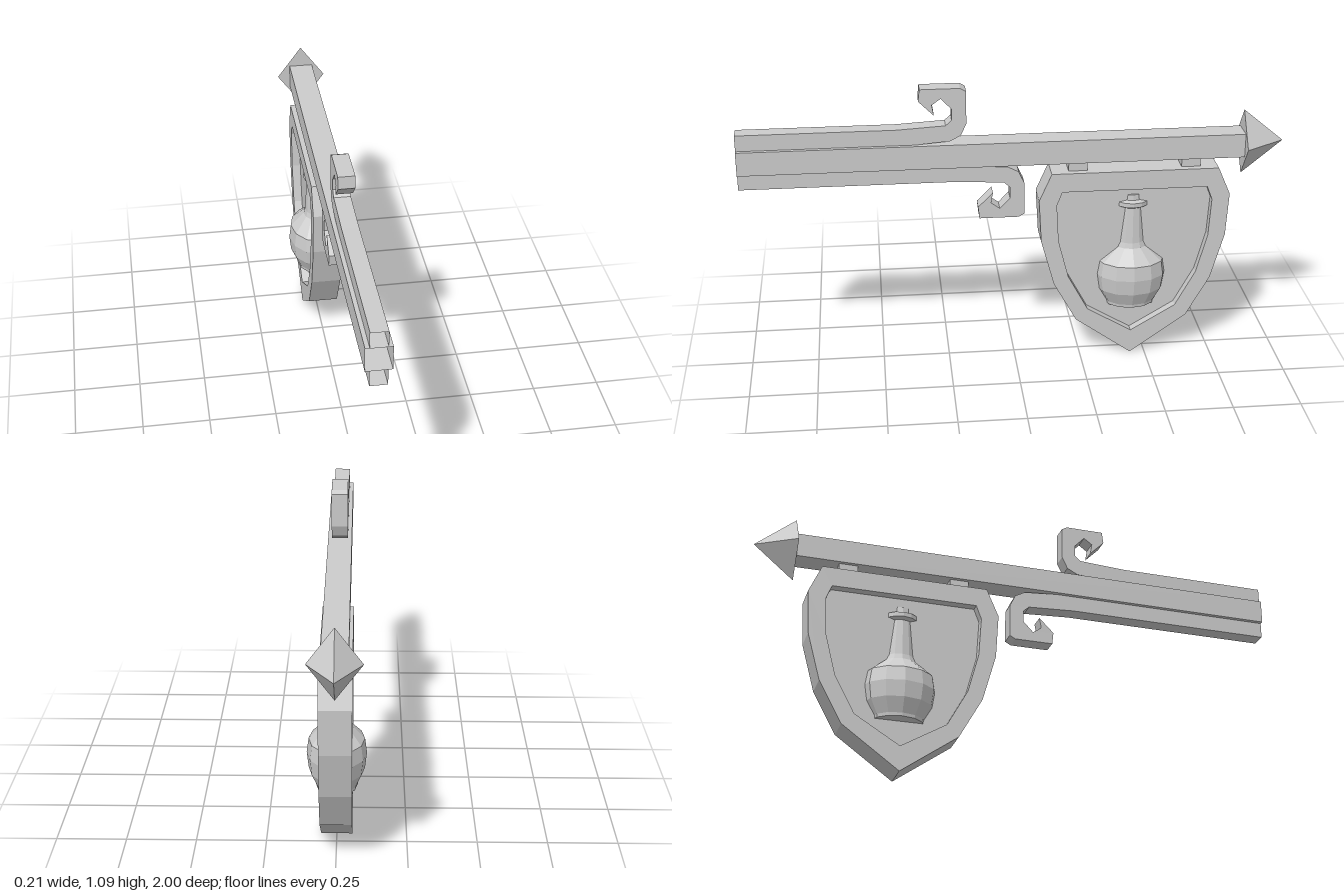
import * as THREE from 'three';

const grey = () => new THREE.MeshStandardMaterial({ color: 0xcccccc, flatShading: true, side: THREE.DoubleSide });
const BEAM_Y = 0.835, SIGN_Z = -0.444;

function addMesh(parent, name, geometry, x = 0, y = 0, z = 0) {
  const mesh = new THREE.Mesh(geometry, grey());
  mesh.name = name;
  mesh.position.set(x, y, z);
  parent.add(mesh);
  return mesh;
}

const points = (list) => list.map(([z, y]) => new THREE.Vector2(z, y));

// Side profile in (z, y), extruded symmetrically across x
function extrudeAcross(outline, width, hole) {
  const shape = new THREE.Shape(points(outline));
  if (hole) shape.holes.push(new THREE.Path(points(hole)));
  const g = new THREE.ExtrudeGeometry(shape, { depth: width, bevelEnabled: false });
  return g.translate(0, 0, -width / 2).rotateY(-Math.PI / 2);
}

// Drop the cap facing the wall at z = 1, leaving a hollow end
function openAtWall(geometry) {
  const g = geometry.index ? geometry.toNonIndexed() : geometry;
  const p = g.attributes.position, kept = [];
  for (let i = 0; i < p.count; i += 3) {
    if ([0, 1, 2].every((k) => p.getZ(i + k) > 0.999)) continue;
    for (let k = 0; k < 3; k++) kept.push(p.getX(i + k), p.getY(i + k), p.getZ(i + k));
  }
  const out = new THREE.BufferGeometry();
  out.setAttribute('position', new THREE.Float32BufferAttribute(kept, 3));
  out.computeVertexNormals();
  return out;
}

// Right half of a shield, top to tip, mirrored to a closed outline
function shieldOutline(half) {
  const left = half.slice(0, -1).reverse().map(([w, y]) => [-w, y]);
  return [...half, ...left];
}

export function createModel() {
  const model = new THREE.Group();
  model.name = 'hangingSign';

  // Beam with pointed end
  const beam = new THREE.BoxGeometry(0.09, 0.09, 1.85).translate(0, BEAM_Y, 0.075);
  addMesh(model, 'beam', openAtWall(beam));
  const head = new THREE.ConeGeometry(1, 0.15, 4).rotateX(-Math.PI / 2).scale(0.093, 0.125, 1);
  addMesh(model, 'arrowhead', head, 0, BEAM_Y, -0.925);

  // Scrolled brackets above and below the beam
  const scroll = [
    [1, 0.88], [0.36, 0.88], [0.233, 0.89], [0.195, 0.91], [0.174, 0.955], [0.174, 1.078],
    [0.195, 1.09], [0.34, 1.09], [0.345, 1.045], [0.29, 0.99], [0.297, 1.03], [0.265, 1.053],
    [0.227, 1.013], [0.227, 0.97], [0.249, 0.95], [0.425, 0.94], [1, 0.94],
  ];
  const lower = scroll.map(([z, y]) => [z === 1 ? 1 : z - 0.21, 2 * BEAM_Y - y]);
  addMesh(model, 'upperScroll', openAtWall(extrudeAcross(scroll, 0.06)));
  addMesh(model, 'lowerScroll', openAtWall(extrudeAcross(lower, 0.06)));

  // Shield: raised rim around a recessed panel
  const sign = new THREE.Group();
  sign.name = 'shield';
  sign.position.z = SIGN_Z;
  model.add(sign);
  const outer = shieldOutline([[0.31, 0.755], [0.356, 0.65], [0.347, 0.484], [0.298, 0.307], [0.212, 0.152], [0, 0]]);
  const inner = shieldOutline([[0.27, 0.682], [0.29, 0.63], [0.282, 0.484], [0.243, 0.334], [0.168, 0.195], [0, 0.094]]);
  addMesh(sign, 'shieldRim', extrudeAcross(outer, 0.112, inner));
  addMesh(sign, 'shieldPanel', extrudeAcross(inner, 0.045));

  // Hangers between beam and shield
  for (const side of [-1, 1]) {
    addMesh(sign, 'hanger', new THREE.BoxGeometry(0.06, 0.05, 0.07), 0, 0.772, side * 0.21);
  }

  // Flattened bottle showing on both faces
  const profile = points([
    [0, 0.2], [0.095, 0.2], [0.097, 0.212], [0.127, 0.265], [0.136, 0.325], [0.127, 0.38],
    [0.06, 0.435], [0.053, 0.455], [0.042, 0.595], [0.06, 0.603], [0.06, 0.62],
    [0.038, 0.626], [0.036, 0.648], [0, 0.655],
  ]);
  addMesh(sign, 'bottle', new THREE.LatheGeometry(profile, 12).scale(0.78, 1, 1));

  return model;
}
